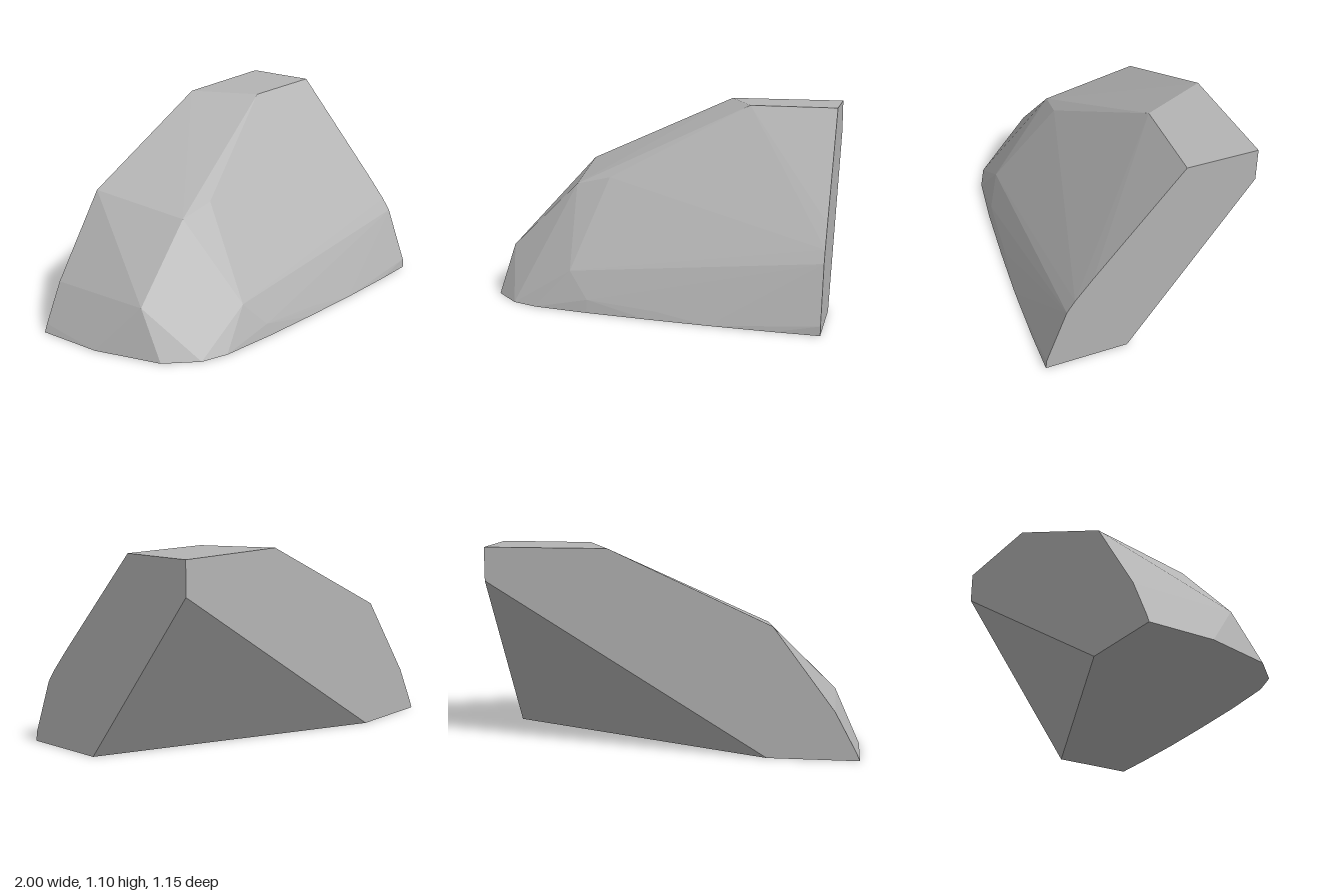
import * as THREE from 'three';
import { ConvexGeometry } from 'three/addons/geometries/ConvexGeometry.js';

export function createModel() {
  const group = new THREE.Group();
  group.name = 'rockFragment';
  const stone = new THREE.MeshStandardMaterial({ color: 0xb4b4b4 });
  stone.name = 'greyStone';

  const B = -0.575; // flat back plane
  // outline of the flat back, [x, y]; its lower corner is sliced off
  const back = [[-1, 0], [-0.98, 0.045], [-0.865, 0.26], [-0.535, 0.705],
    [0.335, 1.1], [1, 1.1], [1, 0.92], [-0.51, 0]];
  // outline of the flat base, [x, z]
  const base = [[-1, -0.2], [-0.905, 0.18], [-0.76, 0.34], [-0.615, 0.4], [-0.3, 0.453],
    [0.05, 0.497], [0.4, 0.535], [0.75, 0.562], [1, 0.575], [1, 0.11]];
  // outline of the flat side, [y, z]
  const side = [[1.1, -0.18], [0.54, 0.31], [0.42, 0.41], [0.355, 0.455], [0.155, 0.53], [0.05, 0.57]];
  // rounded front and shoulder corners, [x, y, z]
  const front = [[0.5, 1.1, -0.205], [-0.275, 0.69, 0.03], [-0.48, 0.64, 0], [-0.865, 0.26, 0.02],
    [-0.42, 0.21, 0.36], [-0.3, 0.07, 0.437], [0.1, 0.045, 0.488]];

  const points = [
    ...back.map(([x, y]) => new THREE.Vector3(x, y, B)),
    ...base.map(([x, z]) => new THREE.Vector3(x, 0, z)),
    ...side.map(([y, z]) => new THREE.Vector3(1, y, z)),
    ...front.map((p) => new THREE.Vector3(...p)),
  ];

  // single faceted stone body
  const body = new THREE.Mesh(new ConvexGeometry(points), stone);
  body.name = 'rockBody';
  group.add(body);
  return group;
}
